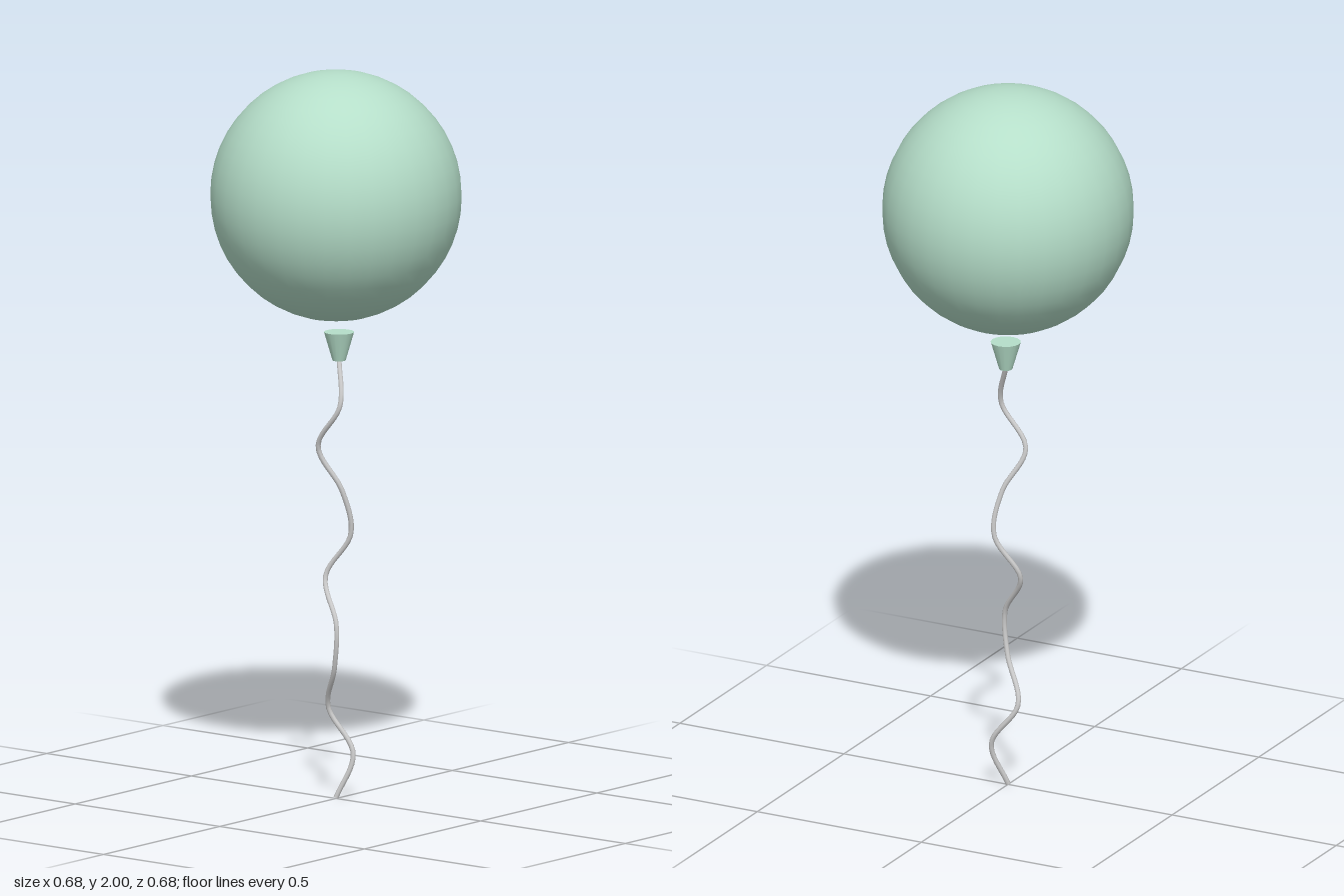
import * as THREE from 'three';

export function createModel() {
  const model = new THREE.Group();
  model.name = 'balloon';

  const mint = new THREE.MeshStandardMaterial({ color: 0xb5dec9 });
  mint.name = 'mint rubber';
  const grey = new THREE.MeshStandardMaterial({ color: 0xcccccc });
  grey.name = 'grey string';

  const add = (name, geometry, material, x = 0, y = 0, z = 0) => {
    const mesh = new THREE.Mesh(geometry, material);
    mesh.name = name;
    mesh.position.set(x, y, z);
    model.add(mesh);
    return mesh;
  };

  // String: a wavy curve through evenly spaced points, swaying in x and z
  const steps = 10;
  const bottom = 0.006;
  const top = 1.21;
  const points = [];
  for (let i = 0; i <= steps; i++) {
    const t = i / steps;
    points.push(new THREE.Vector3(
      0.042 * Math.sin(22 * t),
      bottom + (top - bottom) * t,
      -0.033 * Math.sin(13 * t)
    ));
  }
  const path = new THREE.CatmullRomCurve3(points);
  add('string', new THREE.TubeGeometry(path, 80, 0.007, 8), grey);

  // Small caps close the two string ends
  for (const [name, t, sign] of [['stringBottomCap', 0, -1], ['stringTopCap', 1, 1]]) {
    const p = path.getPointAt(t);
    const cap = add(name, new THREE.CircleGeometry(0.007, 8), grey, p.x, p.y, p.z);
    cap.quaternion.setFromUnitVectors(
      new THREE.Vector3(0, 0, 1),
      path.getTangentAt(t).multiplyScalar(sign)
    );
  }

  // Knot: a tapered plug sitting on the upper end of the string
  const end = points[steps];
  add('knot', new THREE.CylinderGeometry(0.041, 0.018, 0.078, 16), mint, end.x, 1.244, end.z);

  // Round balloon body
  add('balloonBody', new THREE.SphereGeometry(0.34, 32, 24), mint, 0, 1.66, 0);

  return model;
}
